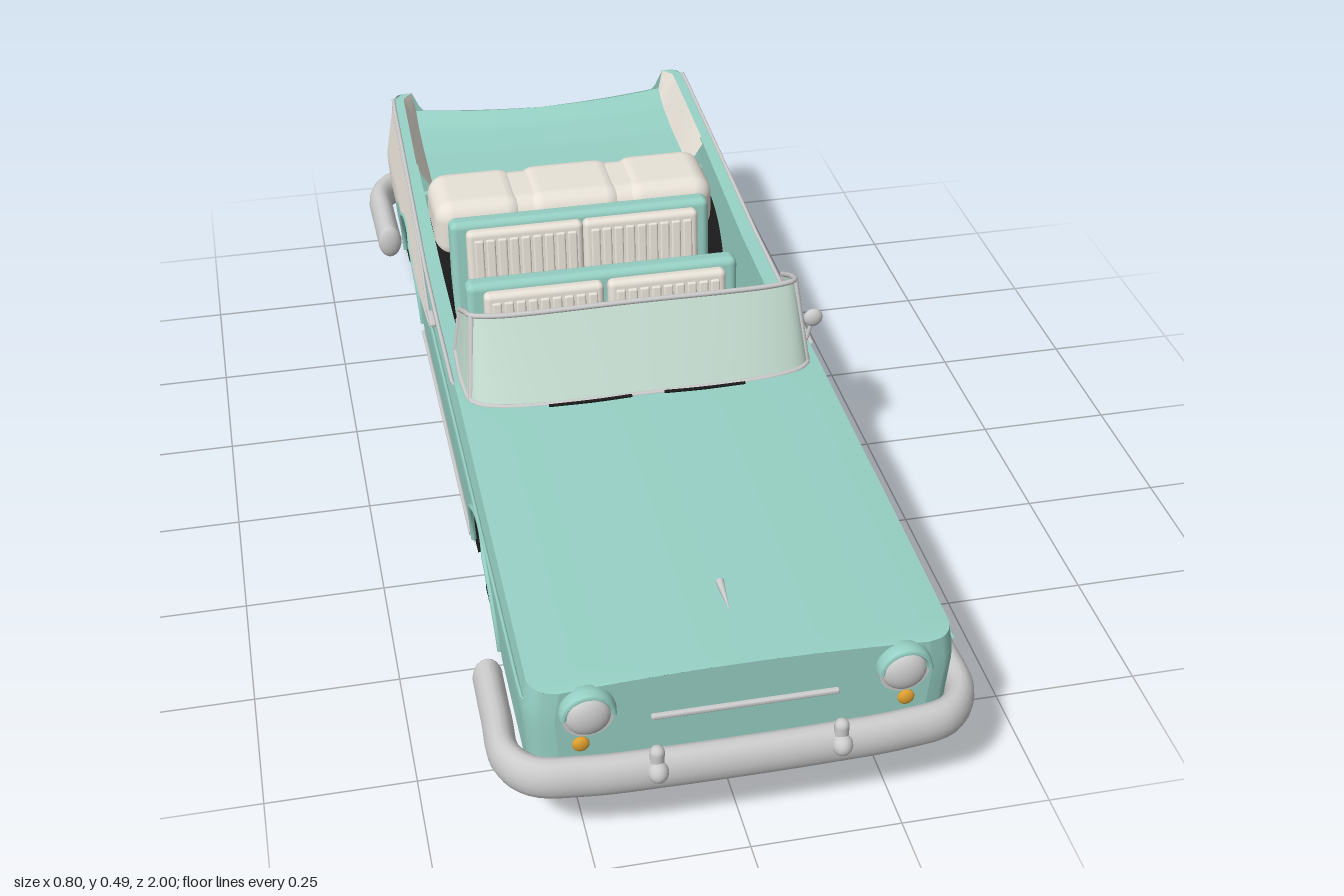
import * as THREE from 'three';
import { RoundedBoxGeometry } from 'three/addons/geometries/RoundedBoxGeometry.js';

const mat = (color) => new THREE.MeshStandardMaterial({ color, side: THREE.DoubleSide });
const TEAL = mat(0x96d0c4), CREAM = mat(0xe8e2d8), GREY = mat(0xcccccc), BLACK = mat(0x1a1a1a);
const GLASS = mat(0xc6ded2), RED = mat(0xb82424), AMBER = mat(0xe0a030), DARK = mat(0x55605e);
const V = (x, y, z) => new THREE.Vector3(x, y, z);
const SIDES = [1, -1];

// piecewise linear lookup in [[key, value], ...]
function lookup(t, x) {
  if (x <= t[0][0]) return t[0][1];
  for (let i = 1; i < t.length; i++) {
    const [a, p] = t[i - 1], [b, q] = t[i];
    if (x <= b) return p + (q - p) * (x - a) / (b - a);
  }
  return t[t.length - 1][1];
}
const range = (a, b, n) => Array.from({ length: n + 1 }, (_, i) => a + (b - a) * i / n);

// surface through fn(u, v) -> Vector3 over two lists of parameters
function grid(us, vs, fn) {
  const pos = [], idx = [], n = vs.length;
  us.forEach((u) => vs.forEach((v) => pos.push(...fn(u, v).toArray())));
  for (let i = 0; i < us.length - 1; i++) for (let j = 0; j < n - 1; j++) {
    const a = i * n + j;
    idx.push(a, a + n, a + 1, a + 1, a + n, a + n + 1);
  }
  const g = new THREE.BufferGeometry();
  g.setAttribute('position', new THREE.Float32BufferAttribute(pos, 3));
  g.setIndex(idx);
  g.computeVertexNormals();
  return g;
}

// body rules: wheel positions, plan width, belt line, lower edge
const WHEELS = [0.46, -0.57], R = 0.152, WY = 0.135, FRONT = 0.935, REAR = -0.94;
const arc = (d, r) => Math.sqrt(Math.max(0, 1 - (d / r) ** 2));
const plan = (z) => z > 0.89 ? 0.3 + 0.045 * arc(z - 0.89, 0.045)
  : z < -0.91 ? 0.325 + 0.02 * arc(-0.91 - z, 0.03) : 0.345;
const sideX = (z, y) => plan(z) - 0.17 * Math.max(0, y - 0.27) - 0.07 * Math.max(0, 0.27 - y);
const belt = (z) => lookup([[REAR, 0.4], [-0.6, 0.368], [-0.3, 0.338], [-0.1, 0.332], [0.2, 0.332], [FRONT, 0.322]], z);
const topX = (z) => sideX(z, belt(z));
const sill = (z) => {
  const c = WHEELS.find((w) => Math.abs(z - w) < R);
  return c === undefined ? 0.115 : WY + R * arc(z - c, R);
};
const crown = (z, t) => belt(z) + 0.01 * (1 - t * t);
const deckY = (z) => lookup([[REAR, 0.356], [-0.9, 0.335], [-0.8, 0.322], [-0.64, 0.318]], z);
const rearZ = (x) => REAR + 0.025 * Math.max(0, 1 - (x / 0.275) ** 2);
const rearTop = (x) => lookup([[0, 0.35], [0.275, 0.356], [0.303, 0.4]], Math.abs(x));

export function createModel() {
  const car = new THREE.Group();
  car.name = 'convertible';
  const add = (name, geo, m, x = 0, y = 0, z = 0, parent = car) => {
    const mesh = new THREE.Mesh(geo, m);
    mesh.name = name;
    mesh.position.set(x, y, z);
    parent.add(mesh);
    return mesh;
  };
  const box = (name, m, w, h, d, x, y, z, r = 0) =>
    add(name, r ? new RoundedBoxGeometry(w, h, d, 3, r) : new THREE.BoxGeometry(w, h, d), m, x, y, z);
  const tube = (name, m, pts, r, n = 40) =>
    add(name, new THREE.TubeGeometry(new THREE.CatmullRomCurve3(pts), n, r, 8), m);

  const zs = [...range(REAR, -0.91, 6), ...range(-0.9, 0.89, 24), ...range(0.89, FRONT, 8)];
  WHEELS.forEach((c) => {
    range(0, Math.PI, 28).forEach((a) => zs.push(c + R * Math.cos(a)));
    zs.push(c - R - 0.0006, c + R + 0.0006);
  });
  zs.sort((a, b) => a - b);
  const unit = range(0, 1, 10), across = range(-1, 1, 24);

  // white flash along the rear flank
  const flashTop = (z) => lookup([[REAR, 0.39], [-0.5, 0.345], [-0.34, 0.32], [-0.17, 0.286]], z);
  const flashLow = (z) => Math.max(sill(z), lookup([[REAR, 0.2], [-0.79, 0.2], [-0.72, 0.258], [-0.34, 0.267], [-0.17, 0.284]], z));

  for (const s of SIDES) {
    // flanks with wheel arches
    const flank = (lo, hi, off) => (z, t) => {
      const y = lo(z) + (hi(z) - lo(z)) * t;
      return V(s * (sideX(z, y) + off), y, z);
    };
    add('sidePanel', grid(zs, unit, flank(sill, belt, 0)), TEAL);
    add('whiteFlash', grid(zs.filter((z) => z <= -0.17), unit, flank(flashLow, flashTop, 0.003)), CREAM);
    const along = (f, a, b, n = 24) => range(a, b, n).map((z) => V(s * (sideX(z, f(z)) + 0.003), f(z), z));
    tube('flashTrim', GREY, along(flashTop, -0.17, -0.93), 0.003);
    tube('flashLowerTrim', GREY, along(flashLow, -0.17, -0.43), 0.003);
    tube('sideTrim', TEAL, along(() => 0.292, 0.9, -0.17), 0.003);
    tube('beltTrim', GREY, along((z) => belt(z), 0.1, -0.92), 0.004);
    tube('rockerTrim', GREY, along(() => 0.125, 0.28, -0.4), 0.004);
    box('doorHandle', GREY, 0.012, 0.01, 0.05, s * 0.343, 0.308, -0.16, 0.004);

    // sill tops, inner walls and fins
    add('sillTop', grid(range(-0.66, 0.12, 16), [0, 1], (z, t) => V(s * (t ? 0.305 : topX(z)), belt(z), z)), TEAL);
    add('innerWall', grid(range(-0.66, 0.12, 16), [0, 1], (z, t) => V(s * 0.305, t ? belt(z) : 0.12, z)), TEAL);
    const tail = range(REAR, -0.64, 16);
    add('finTop', grid(tail, [0, 1], (z, t) => V(s * (topX(z) - 0.02 * t), belt(z), z)), TEAL);
    add('finInner', grid(tail, unit, (z, t) =>
      V(s * (topX(z) - 0.02 + (0.295 - topX(z)) * t), belt(z) + (deckY(z) - belt(z)) * t, z)), CREAM);

    // tail lamp on its white surround
    add('tailSurround', grid(unit, unit, (a, b) => {
      const y = 0.2 + 0.185 * b, x = 0.275 + (sideX(REAR, y) - 0.275) * a;
      return V(s * x, Math.min(y, rearTop(x)), REAR - 0.003);
    }), CREAM);
    add('tailLampBezel', new THREE.SphereGeometry(1, 20, 14).scale(0.025, 0.047, 0.012), GREY, s * 0.313, 0.295, REAR);
    add('tailLamp', new THREE.SphereGeometry(1, 20, 14).scale(0.019, 0.04, 0.022), RED, s * 0.313, 0.295, REAR - 0.003);

    // headlamps with hooded rims
    add('headlampBezel', new THREE.CylinderGeometry(0.041, 0.041, 0.05, 28).rotateX(Math.PI / 2), GREY, s * 0.25, 0.28, 0.922);
    add('headlampLens', new THREE.SphereGeometry(0.036, 24, 16).scale(1, 1, 0.5), GREY, s * 0.25, 0.28, 0.945);
    add('headlampHood', new THREE.TorusGeometry(0.039, 0.006, 8, 24, Math.PI).scale(1, 1, 3), TEAL, s * 0.25, 0.284, 0.942);
    add('turnLamp', new THREE.SphereGeometry(0.014, 16, 12).scale(1, 1, 0.5), AMBER, s * 0.26, 0.215, 0.937);

    // wheels, arch lips and wells
    for (const wz of WHEELS) {
      const wheel = new THREE.Group();
      wheel.name = 'wheel';
      wheel.position.set(s * 0.282, WY, wz);
      wheel.rotation.y = s > 0 ? 0 : Math.PI;
      car.add(wheel);
      const ring = (name, m, pts) => add(name, new THREE.LatheGeometry(
        pts.map(([r, x]) => new THREE.Vector2(r, x)), 40).rotateZ(-Math.PI / 2), m, 0, 0, 0, wheel);
      ring('tyre', BLACK, [[0, -0.02], [0.08, -0.025], [0.09, -0.035], [0.122, -0.034], [0.132, -0.025], [0.135, -0.01],
        [0.135, 0.012], [0.132, 0.026], [0.122, 0.034], [0.1, 0.037]]);
      ring('whitewall', CREAM, [[0.102, 0.036], [0.098, 0.038], [0.076, 0.036], [0.073, 0.03]]);
      ring('rim', GREY, [[0.075, 0.034], [0.07, 0.036], [0.062, 0.028], [0.054, 0.026]]);
      ring('hubcap', GREY, [[0.056, 0.026], [0.05, 0.036], [0.03, 0.039], [0.026, 0.037], [0.023, 0.044], [0.012, 0.049], [0, 0.05]]);
      tube('archLip', TEAL, range(0, Math.PI, 20).map((a) => {
        const y = WY + R * Math.sin(a);
        return V(s * (sideX(wz, y) + 0.001), y, wz + R * Math.cos(a));
      }), 0.005);
      add('wheelWell', new THREE.CylinderGeometry(R, R, 0.092, 24, 1, true, 0, Math.PI).rotateZ(Math.PI / 2), BLACK, s * 0.288, WY, wz);
      add('wellInner', new THREE.CircleGeometry(R, 24, 0, Math.PI).rotateY(Math.PI / 2), BLACK, s * 0.242, WY, wz);
    }

    // underside strips, springs and exhausts
    [[0.92, 0.612], [0.308, -0.418], [-0.722, -0.92]].forEach(([a, b]) =>
      box('underTray', BLACK, 0.1, 0.02, a - b, s * 0.28, 0.112, (a + b) / 2));
    box('leafSpring', BLACK, 0.03, 0.012, 0.3, s * 0.215, 0.096, -0.57);
    box('frontArm', BLACK, 0.1, 0.014, 0.12, s * 0.28, 0.102, 0.46);
    add('exhaust', new THREE.CylinderGeometry(0.009, 0.009, 0.13, 14, 1, true).rotateX(Math.PI / 2), GREY, s * 0.195, 0.095, -0.91);

    // bumper guards
    for (const [z, d] of [[0.968, 1], [-0.972, -1]]) {
      add('bumperGuard', new THREE.SphereGeometry(0.019, 18, 14).scale(0.9, 1, 1), GREY, s * 0.147, 0.172, z + d * 0.008);
      add('guardPost', new THREE.CapsuleGeometry(0.012, 0.035, 6, 14), GREY, s * 0.147, 0.187, z);
    }
    // wipers
    tube('wiper', BLACK, [V(s * 0.03, 0.345, 0.222), V(s * 0.1, 0.343, 0.222), V(s * 0.18, 0.34, 0.217)], 0.003, 8);
  }

  // bonnet, nose, boot lid and tail
  add('bonnet', grid([...range(0.1, 0.89, 14), ...range(0.895, FRONT, 8)], across, (z, t) => V(t * topX(z), crown(z, t), z)), TEAL);
  add('nose', grid(across, unit, (t, v) => {
    const y = 0.115 + (crown(FRONT, t) - 0.115) * v;
    return V(t * sideX(FRONT, y), y, FRONT);
  }), TEAL);
  add('bootLid', grid(range(REAR, -0.64, 20), across, (z, t) => {
    const x = t * 0.275, k = (z + 0.64) / (REAR + 0.64);
    return V(x, deckY(z) - 0.006 * k * (1 - t * t), -0.64 + k * (rearZ(x) + 0.64));
  }), TEAL);
  add('tailPanel', grid(range(-1, 1, 60), unit, (t, v) => {
    const x0 = t * 0.325, y = 0.115 + (rearTop(x0) - 0.115) * v;
    return V(t * sideX(REAR, y), y, rearZ(x0));
  }), TEAL);
  box('grilleSlot', GREY, 0.3, 0.01, 0.012, 0, 0.25, 0.936, 0.004);
  add('bonnetOrnament', new THREE.ConeGeometry(0.007, 0.07, 10).rotateX(Math.PI / 2), GREY, 0, 0.342, 0.79).rotation.x = 0.1;
  box('bootHandle', GREY, 0.03, 0.015, 0.012, 0, 0.32, -0.92, 0.004);

  // bumpers: flattened tube wrapped round the corners
  const bumper = (name, half) => {
    const pts = [...half.map(([x, z]) => V(-x, 0, z)), ...half.slice(0, -1).reverse().map(([x, z]) => V(x, 0, z))];
    add(name, new THREE.TubeGeometry(new THREE.CatmullRomCurve3(pts), 90, 0.025, 16).scale(1, 1.5, 1), GREY, 0, 0.16, 0);
    SIDES.forEach((s) => add(name + 'End', new THREE.SphereGeometry(0.025, 16, 12).scale(1, 1.5, 0.6), GREY, s * half[0][0], 0.16, half[0][1]));
  };
  bumper('frontBumper', [[0.37, 0.7], [0.371, 0.8], [0.369, 0.89], [0.335, 0.935], [0.25, 0.952], [0.12, 0.957], [0, 0.958]]);
  bumper('rearBumper', [[0.37, -0.72], [0.371, -0.82], [0.368, -0.91], [0.34, -0.953], [0.28, -0.972], [0.14, -0.975], [0, -0.965]]);

  // floor
  box('underBody', BLACK, 0.48, 0.02, 1.86, 0, 0.112, 0);
  box('cabinFloor', DARK, 0.61, 0.008, 0.78, 0, 0.128, -0.27);

  // wraparound windscreen
  const mirrorCurve = (half) => new THREE.CatmullRomCurve3([...half.map((p) => V(-p[0], p[1], p[2])),
    ...half.slice(0, -1).reverse().map((p) => V(...p))]);
  const top = mirrorCurve([[0.306, 0.425, 0], [0.304, 0.462, 0.07], [0.296, 0.477, 0.108], [0.25, 0.481, 0.124], [0, 0.488, 0.135]]);
  const low = mirrorCurve([[0.318, 0.335, 0], [0.319, 0.333, 0.11], [0.308, 0.333, 0.17], [0.255, 0.335, 0.197], [0, 0.341, 0.215]]);
  add('windscreen', grid(range(0, 1, 60), unit, (u, v) => low.getPoint(u).lerp(top.getPoint(u), v)), GLASS);
  add('screenTopFrame', new THREE.TubeGeometry(top, 70, 0.005, 8), GREY);
  add('screenBaseFrame', new THREE.TubeGeometry(low, 70, 0.005, 8), GREY);
  for (const u of [0, 1]) tube('screenEndFrame', GREY, [low.getPoint(u), top.getPoint(u)], 0.005, 4);
  for (const s of SIDES) tube('screenPillar', GREY, [V(s * 0.312, 0.33, 0.16), V(s * 0.298, 0.476, 0.105)], 0.006, 4);

  // dashboard and steering
  box('firewall', DARK, 0.61, 0.2, 0.02, 0, 0.225, 0.12);
  box('dashboard', TEAL, 0.6, 0.075, 0.06, 0, 0.295, 0.1, 0.015);
  box('instrumentStrip', GREY, 0.5, 0.03, 0.008, 0, 0.3, 0.069);
  for (const x of [0.2, 0.14, 0.08, -0.14])
    add('dial', new THREE.CylinderGeometry(0.018, 0.018, 0.012, 20).rotateX(Math.PI / 2), GREY, x, 0.305, 0.066);
  const steering = new THREE.Group();
  steering.name = 'steeringWheel';
  steering.position.set(0.14, 0.305, 0.03);
  steering.rotation.x = 0.7;
  car.add(steering);
  add('steeringRim', new THREE.TorusGeometry(0.06, 0.005, 8, 32), GREY, 0, 0, 0, steering);
  add('steeringHub', new THREE.CylinderGeometry(0.012, 0.012, 0.1, 14).rotateX(Math.PI / 2), GREY, 0, 0, 0.045, steering);
  for (const a of [0, 2.1, 4.2]) add('spoke', new THREE.BoxGeometry(0.006, 0.06, 0.004).translate(0, 0.03, 0), GREY, 0, 0, 0, steering).rotation.z = a;

  // wing mirror on the driver's side
  add('mirrorHead', new THREE.SphereGeometry(0.018, 18, 14).scale(1, 1, 0.6), GREY, 0.342, 0.38, 0.09);
  tube('mirrorStem', GREY, [V(0.33, 0.33, 0.09), V(0.336, 0.355, 0.09), V(0.342, 0.38, 0.09)], 0.004, 6);

  // seat rows: ribbed cream cushions and backs, teal shells
  const seatRow = (zBack, depth, halfGap) => {
    for (const s of SIDES) {
      const w = 0.24 - halfGap, x = s * (halfGap + w / 2);
      box('seatCushion', CREAM, w, 0.08, depth, x, 0.18, zBack + depth / 2, 0.02);
      box('seatBack', CREAM, w, 0.15, 0.03, x, 0.27, zBack + 0.005, 0.012).rotation.x = -0.12;
      for (const k of range(-0.4, 0.4, 8)) {
        box('cushionRib', CREAM, w * 0.08, 0.01, depth * 0.8, x + k * w, 0.219, zBack + depth / 2, 0.004);
        box('backRib', CREAM, w * 0.08, 0.12, 0.01, x + k * w, 0.27, zBack + 0.02, 0.004).rotation.x = -0.12;
      }
    }
    box('seatShell', TEAL, 0.54, 0.215, 0.045, 0, 0.243, zBack - 0.032, 0.015).rotation.x = -0.1;
  };
  seatRow(-0.17, 0.19, 0.004);
  seatRow(-0.41, 0.16, 0);

  // folded soft top
  for (const [x, w] of [[-0.198, 0.19], [0, 0.21], [0.198, 0.19]])
    box('foldedTop', CREAM, w, 0.13, 0.175, x, 0.3, -0.562, 0.04);
  box('foldedTopCore', CREAM, 0.57, 0.12, 0.165, 0, 0.3, -0.562, 0.04);
  box('rearBulkhead', TEAL, 0.61, 0.18, 0.015, 0, 0.222, -0.645);
  return car;
}
